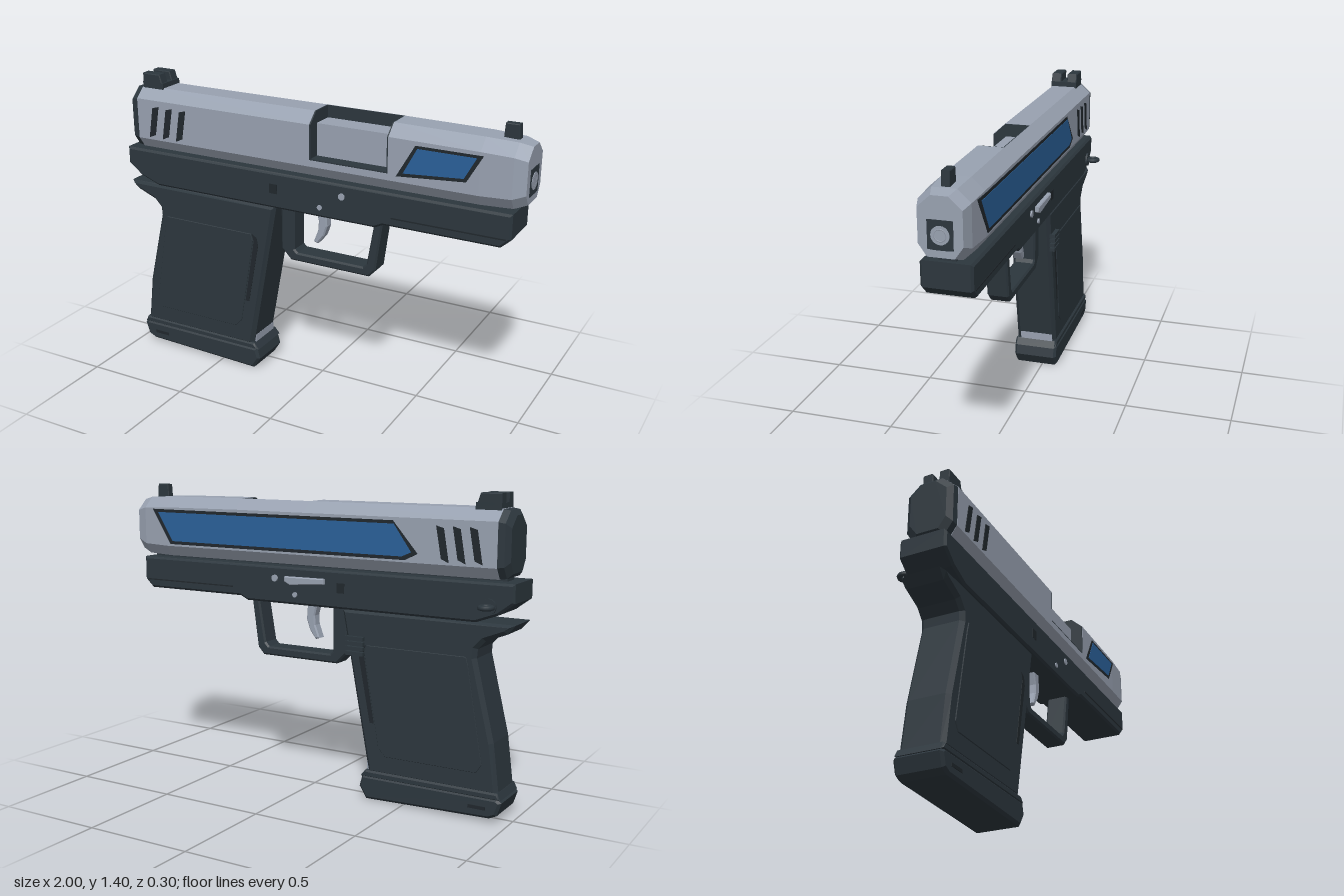
import * as THREE from 'three';

const mat = (name, color) => {
  const m = new THREE.MeshStandardMaterial({ color });
  m.name = name;
  return m;
};

export function createModel() {
  const root = new THREE.Group();
  root.name = 'pistol';
  const steel = mat('steel grey', 0x98a1b0);
  const dark = mat('dark polymer', 0x2c363d);
  const black = mat('groove black', 0x20272c);
  const blue = mat('blue inlay', 0x2a6099);
  const ZC = 0.033, FRONT = 0.145, BACK = -0.079;

  const add = (name, geo, material) => {
    const m = new THREE.Mesh(geo, material);
    m.name = name;
    root.add(m);
    return m;
  };
  // box given by its limits
  const box = (name, material, x0, x1, y0, y1, z0, z1) => {
    const m = add(name, new THREE.BoxGeometry(x1 - x0, y1 - y0, z1 - z0), material);
    m.position.set((x0 + x1) / 2, (y0 + y1) / 2, (z0 + z1) / 2);
    return m;
  };
  // side outline in x, y extruded from z0 to z1, with chamfered edges
  const slab = (name, material, pts, z0, z1, bevel = 0) => {
    const shape = new THREE.Shape(pts.map(p => new THREE.Vector2(p[0], p[1])));
    const geo = new THREE.ExtrudeGeometry(shape, {
      depth: z1 - z0 - 2 * bevel, bevelEnabled: bevel > 0, bevelThickness: bevel,
      bevelSize: bevel, bevelOffset: -bevel, bevelSegments: 1,
    });
    geo.translate(0, 0, z0 + bevel);
    return add(name, geo, material);
  };
  // cross-sections [x, [[z, y], ...]] counter-clockwise, joined along x
  const loft = (name, material, sections) => {
    const pos = [];
    const put = (s, i) => pos.push(s[0], s[1][i][1], s[1][i][0]);
    const n = sections[0][1].length;
    for (let k = 0; k + 1 < sections.length; k++) {
      const s = sections[k], t = sections[k + 1];
      for (let i = 0; i < n; i++) {
        const j = (i + 1) % n;
        put(s, i); put(t, i); put(s, j);
        put(s, j); put(t, i); put(t, j);
      }
    }
    const cap = (s, flip) => {
      const flat = s[1].map(p => new THREE.Vector2(p[0], p[1]));
      for (const [a, b, c] of THREE.ShapeUtils.triangulateShape(flat, [])) {
        for (const i of flip ? [a, c, b] : [a, b, c]) put(s, i);
      }
    };
    cap(sections[0], false);
    cap(sections[sections.length - 1], true);
    const geo = new THREE.BufferGeometry();
    geo.setAttribute('position', new THREE.Float32BufferAttribute(pos, 3));
    geo.computeVertexNormals();
    return add(name, geo, material);
  };
  // eight-sided slide section
  const oct = (hw, y0, y1, top = 0.055, low = 0.035) => [
    [ZC - hw + low, y0], [ZC + hw - low, y0], [ZC + hw, y0 + 0.05], [ZC + hw, y1 - 0.05],
    [ZC + hw - top, y1], [ZC - hw + top, y1], [ZC - hw, y1 - 0.05], [ZC - hw, y0 + 0.05],
  ];

  // slide, with a port cut into its top and +z side
  const full = oct(0.112, 1.05, 1.342);
  loft('slideRear', steel, [[-0.92, full], [0.01, full]]);
  const cut = [full[0], full[1], full[2], [FRONT, 1.13], [-0.025, 1.13], [-0.025, 1.342], full[5], full[6], full[7]];
  loft('slidePort', steel, [[0.01, cut], [0.39, cut]]);
  loft('slideFront', steel, [[0.39, full], [0.8, oct(0.112, 1.05, 1.338)],
    [0.94, oct(0.106, 1.055, 1.332)], [0.995, oct(0.09, 1.075, 1.318)]]);
  loft('slideBackCap', dark, [[-0.97, oct(0.085, 1.075, 1.315)], [-0.95, oct(0.108, 1.055, 1.335)],
    [-0.92, oct(0.111, 1.052, 1.34)]]);

  // port lining and barrel block
  const lining = [[-0.025, 1.13], [0.144, 1.13], [0.144, 1.29], [0.089, 1.341], [-0.025, 1.341]];
  for (const x of [0.01, 0.384]) loft('portEnd', dark, [[x, lining], [x + 0.006, lining]]);
  box('portFloor', dark, 0.01, 0.39, 1.13, 1.136, -0.025, 0.144);
  box('portWall', dark, 0.01, 0.39, 1.13, 1.341, -0.025, -0.019);
  box('barrelBlock', steel, 0.016, 0.39, 1.13, 1.285, -0.019, 0.085);

  // muzzle
  const plate = h => [[ZC - h, 1.128 - h * 0.4], [ZC - h * 0.5, 1.165 - h * 1.15], [ZC + h * 0.5, 1.165 - h * 1.15],
    [ZC + h, 1.128 - h * 0.4], [ZC + h, 1.165 + h * 1.15], [ZC - h, 1.165 + h * 1.15]];
  loft('muzzleRecess', dark, [[0.99, plate(0.052)], [0.997, plate(0.052)]]);
  const barrel = add('barrel', new THREE.CylinderGeometry(0.038, 0.038, 0.02, 20), steel);
  barrel.rotation.z = Math.PI / 2;
  barrel.position.set(0.989, 1.165, ZC);
  const bore = add('boreRing', new THREE.TorusGeometry(0.024, 0.005, 6, 20), steel);
  bore.rotation.y = Math.PI / 2;
  bore.position.set(0.995, 1.165, ZC);

  // grip grooves on both sides of the slide
  for (const z of [FRONT - 0.003, BACK - 0.003]) {
    for (let i = 0; i < 3; i++) {
      const x = i * 0.076;
      slab('slideGroove', black, [[-0.857 + x, 1.11], [-0.822 + x, 1.125], [-0.797 + x, 1.265], [-0.832 + x, 1.255]], z, z + 0.006);
    }
  }
  // blue inlays with dark rims
  slab('inlayRim', black, [[0.43, 1.125], [0.745, 1.15], [0.815, 1.272], [0.515, 1.272]], FRONT - 0.004, FRONT + 0.002);
  slab('inlay', blue, [[0.462, 1.143], [0.735, 1.164], [0.788, 1.26], [0.525, 1.26]], FRONT - 0.003, FRONT + 0.004);
  slab('longInlayRim', black, [[-0.5, 1.11], [0.78, 1.11], [0.885, 1.278], [-0.44, 1.278], [-0.56, 1.14]], BACK - 0.002, BACK + 0.004);
  slab('longInlay', blue, [[-0.485, 1.125], [0.765, 1.125], [0.852, 1.264], [-0.445, 1.264], [-0.53, 1.145]], BACK - 0.004, BACK + 0.003);

  // sights
  box('rearSightBase', dark, -0.915, -0.8, 1.335, 1.365, -0.033, 0.097);
  for (const z of [-0.033, 0.047]) {
    slab('rearSightPost', dark, [[-0.915, 1.34], [-0.8, 1.34], [-0.82, 1.405], [-0.915, 1.405]], z, z + 0.05, 0.004);
  }
  slab('frontSight', dark, [[0.86, 1.325], [0.93, 1.325], [0.925, 1.395], [0.865, 1.395]], 0.014, 0.05, 0.003);

  // frame and rail
  box('slideRail', dark, -0.94, 0.93, 1.03, 1.06, -0.005, 0.07);
  slab('frame', dark, [[-1, 1.04], [-1, 0.958], [-0.93, 0.905], [-0.83, 0.868], [0.33, 0.868], [0.37, 0.887],
    [0.905, 0.887], [0.95, 0.928], [0.95, 1.04]], -0.077, 0.141, 0.01);
  for (const z of [-0.079, 0.137]) {
    box('railLine', black, 0.41, 0.93, 0.925, 0.931, z, z + 0.006);
    box('squarePin', black, -0.2, -0.16, 0.94, 0.985, z, z + 0.006);
  }
  for (const [x, y, r] of [[0.17, 0.985, 0.016], [0.06, 0.915, 0.012]]) {
    const pin = add('pin', new THREE.CylinderGeometry(r, r, 0.23, 14), steel);
    pin.rotation.x = Math.PI / 2;
    pin.position.set(x, y, 0.031);
  }
  slab('slideStop', steel, [[-0.1, 0.975], [0.08, 0.96], [0.11, 0.975], [0.11, 0.998], [-0.1, 1.0]], -0.096, -0.07, 0.004);

  // lanyard ring
  const ring = add('lanyardRing', new THREE.TorusGeometry(0.026, 0.011, 8, 20), dark);
  ring.rotation.x = Math.PI / 2;
  ring.position.set(-0.89, 0.94, -0.11);
  const boss = add('ringBoss', new THREE.CylinderGeometry(0.034, 0.034, 0.012, 16), dark);
  boss.rotation.x = Math.PI / 2;
  boss.position.set(-0.89, 0.94, -0.08);

  // trigger guard and trigger
  slab('triggerGuard', dark, [[-0.175, 0.88], [-0.175, 0.65], [-0.125, 0.6], [0.28, 0.6], [0.312, 0.635], [0.345, 0.88],
    [0.305, 0.88], [0.268, 0.662], [0.25, 0.642], [-0.09, 0.642], [-0.105, 0.657], [-0.105, 0.88]], -0.016, 0.085, 0.008);
  slab('trigger', steel, [[-0.01, 0.88], [0.008, 0.81], [0.005, 0.765], [-0.018, 0.705], [0.003, 0.698], [0.035, 0.74],
    [0.052, 0.79], [0.045, 0.88]], 0.008, 0.058, 0.006);

  // grip with side panels
  slab('grip', dark, [[-1, 0.866], [-0.965, 0.825], [-0.87, 0.787], [-0.835, 0.75], [-0.832, 0.71], [-0.92, 0.35],
    [-0.95, 0.12], [-0.32, 0.12], [-0.178, 0.87]], -0.066, 0.135, 0.018);
  const panel = [[-0.79, 0.715], [-0.31, 0.715], [-0.3, 0.68], [-0.375, 0.25], [-0.41, 0.212], [-0.85, 0.212],
    [-0.875, 0.25], [-0.8, 0.68]];
  for (const z of [-0.07, 0.131]) slab('gripPanel', dark, panel, z, z + 0.008, 0.002);
  for (const z of [-0.068, 0.131]) {
    slab('panelGap', black, [[-0.305, 0.715], [-0.28, 0.7], [-0.272, 0.66], [-0.33, 0.36], [-0.35, 0.36], [-0.295, 0.68]], z, z + 0.006);
  }

  // ridged magazine release
  for (let i = 0; i < 4; i++) {
    box('magazineRelease', dark, -0.3, -0.21, 0.665 + i * 0.023, 0.682 + i * 0.023, -0.086, -0.06);
  }

  // magazine and base
  box('magazine', steel, -0.6, -0.309, 0.12, 0.172, -0.05, 0.113);
  slab('magazineBase', dark, [[-0.95, 0.112], [-0.97, 0.095], [-0.95, 0.035], [-0.915, 0.018], [-0.315, 0], [-0.28, 0.055],
    [-0.295, 0.112]], -0.076, 0.141, 0.012);
  slab('baseLip', dark, [[-0.965, 0.105], [-0.285, 0.105], [-0.31, 0.136], [-0.95, 0.136]], -0.074, 0.139, 0.008);
  for (const z of [-0.079, 0.138]) box('baseSlot', black, -0.9, -0.82, 0.055, 0.07, z, z + 0.005);

  return root;
}
